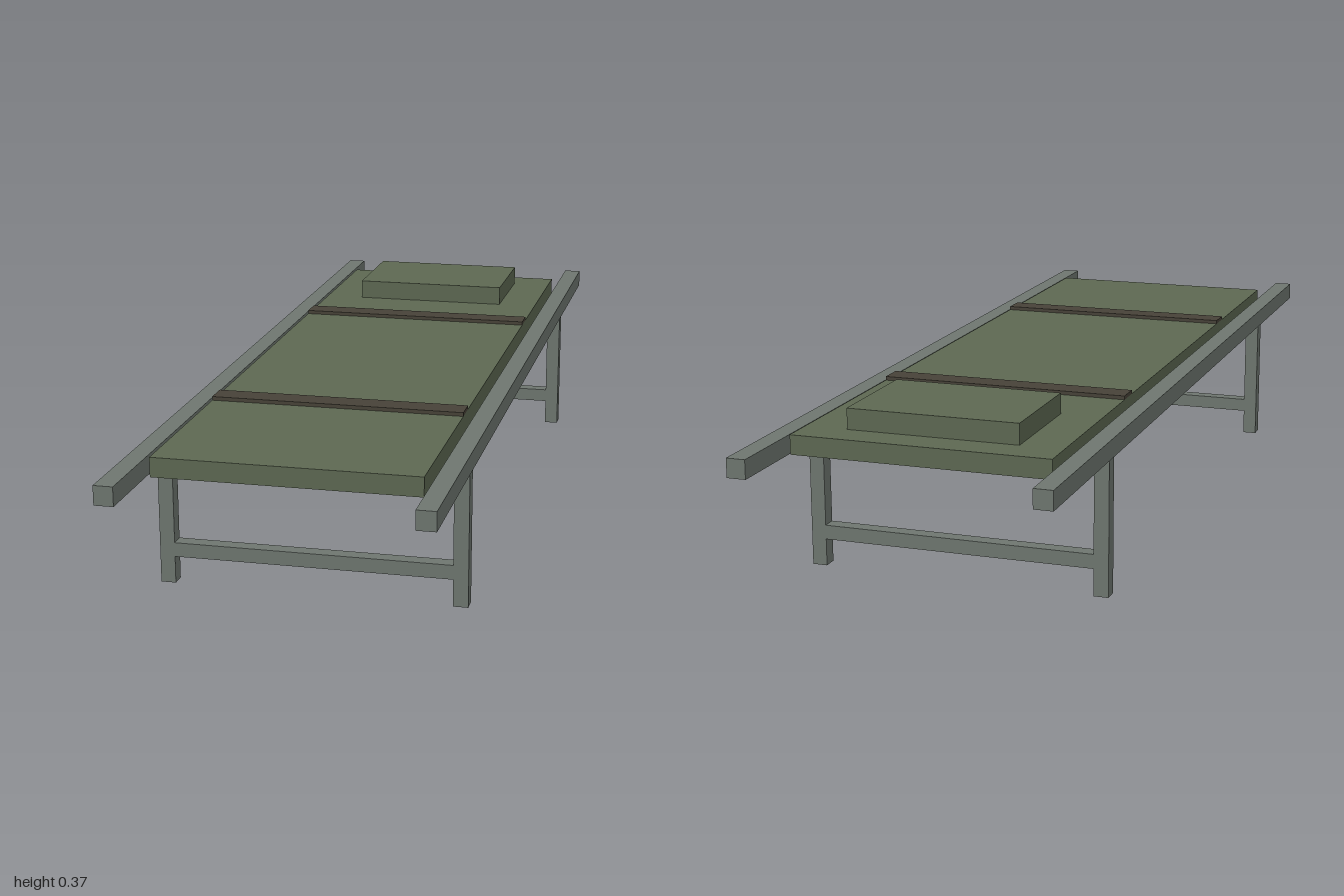
import * as THREE from 'three';

const mat = (name, color) => {
  const m = new THREE.MeshStandardMaterial({ color });
  m.name = name;
  return m;
};

export function createModel() {
  const group = new THREE.Group();
  group.name = 'foldingCot';
  const metal = mat('grey metal', 0x6e766f);
  const canvas = mat('olive canvas', 0x5d6852);
  const webbing = mat('brown webbing', 0x474238);

  // Box given by its min and max along each axis
  const box = (name, material, [x0, x1], [y0, y1], [z0, z1]) => {
    const mesh = new THREE.Mesh(new THREE.BoxGeometry(x1 - x0, y1 - y0, z1 - z0), material);
    mesh.position.set((x0 + x1) / 2, (y0 + y1) / 2, (z0 + z1) / 2);
    mesh.name = name;
    group.add(mesh);
  };
  const around = (c, w) => [c - w / 2, c + w / 2];

  // Side rails and legs
  for (const [side, s] of [['left', 1], ['right', -1]]) {
    box(side + 'Rail', metal, around(s * 0.3025, 0.039), [0.283, 0.322], [-1, 1]);
    for (const [end, e] of [['Front', 1], ['Back', -1]])
      box(side + end + 'Leg', metal, around(s * 0.3035, 0.031), [0, 0.283], around(e * 0.641, 0.031));
  }

  // Cross bars between the legs
  for (const [end, e] of [['front', 1], ['back', -1]])
    box(end + 'CrossBar', metal, [-0.288, 0.288], [0.057, 0.087], around(e * 0.641, 0.031));

  // Bed, pillow and straps
  box('bed', canvas, [-0.267, 0.267], [0.291, 0.331], [-0.845, 0.845]);
  box('pillow', canvas, [-0.178, 0.178], [0.331, 0.374], [-0.775, -0.53]);
  box('frontStrap', webbing, [-0.267, 0.267], [0.331, 0.339], [0.397, 0.45]);
  box('backStrap', webbing, [-0.267, 0.267], [0.331, 0.339], [-0.383, -0.33]);

  return group;
}
